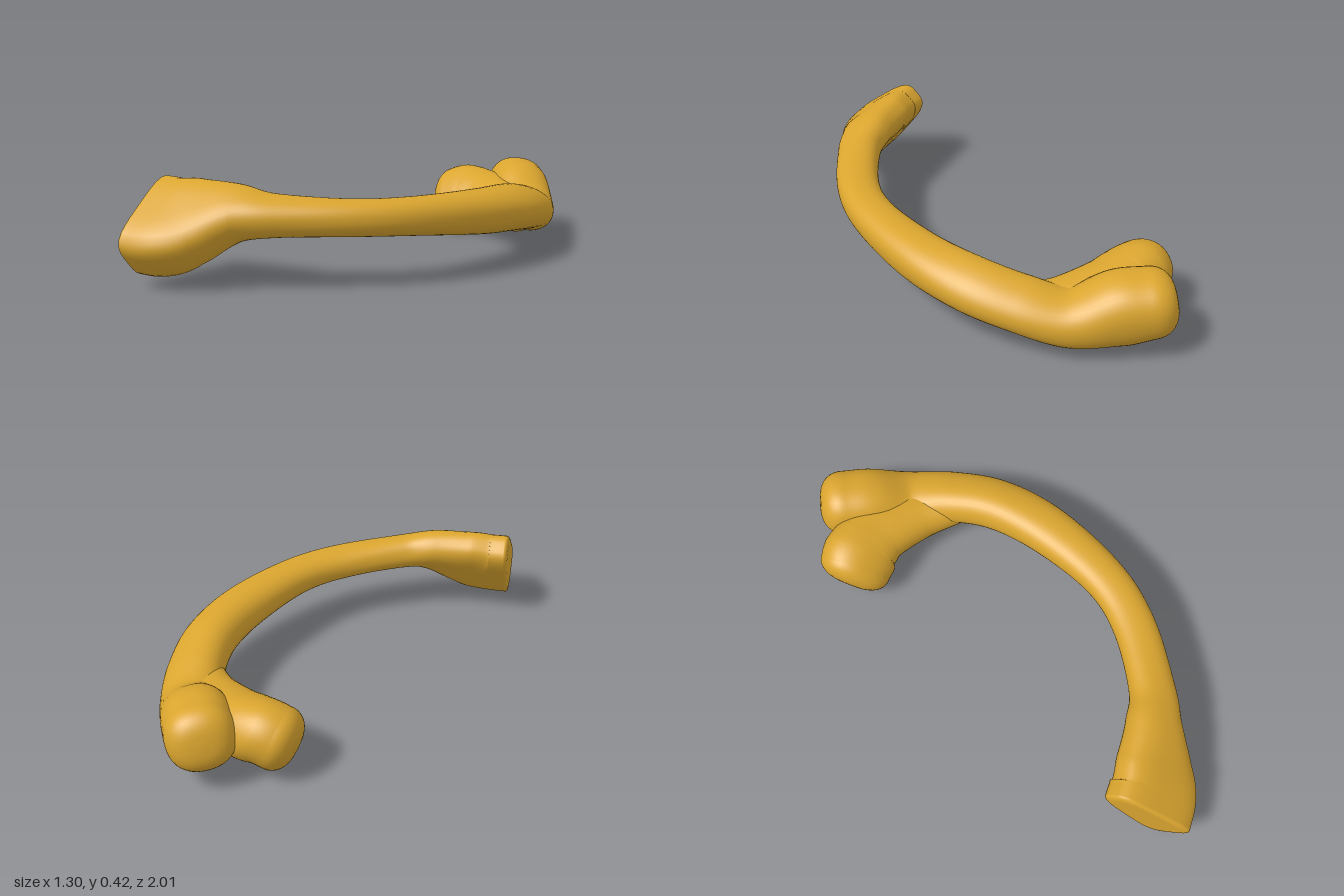
import * as THREE from 'three';

// Lofts rounded sections along a curve.
// Each section: [x, y, z, half width, half height, tilt, taper, squareness]
function loft(sections, startCap, endCap, rings = 90, sides = 40) {
  const col = (a, b, c) => new THREE.CatmullRomCurve3(
    sections.map((s) => new THREE.Vector3(s[a], s[b], s[c])), false, 'catmullrom', 0.5);
  const path = col(0, 1, 2), size = col(3, 4, 5), form = col(6, 7, 7);
  const up = new THREE.Vector3(0, 1, 0);
  const pos = [], index = [];

  // one ring of vertices; scale and push shape the closed ends
  const ring = (t, scale, push) => {
    const T = path.getTangent(t);
    const c = path.getPoint(t).addScaledVector(T, push);
    const N = new THREE.Vector3().crossVectors(T, up).normalize();
    const U = new THREE.Vector3().crossVectors(N, T);
    const s = size.getPoint(t), f = form.getPoint(t);
    const A = N.clone().multiplyScalar(Math.cos(s.z)).addScaledVector(U, Math.sin(s.z));
    const B = U.clone().multiplyScalar(Math.cos(s.z)).addScaledVector(N, -Math.sin(s.z));
    for (let j = 0; j < sides; j++) {
      const a = (j / sides) * Math.PI * 2;
      const ca = Math.cos(a), sa = Math.sin(a);
      const r = Math.pow(Math.abs(ca) ** f.y + Math.abs(sa) ** f.y, -1 / f.y);
      const p = c.clone().addScaledVector(A, s.x * r * ca * scale)
        .addScaledVector(B, s.y * r * sa * scale * (1 + f.x * ca * r));
      pos.push(p.x, p.y, p.z);
    }
  };

  // cap: [length, power]; a low power gives a flat end, 1 a dome
  const steps = 10;
  const cap = ([len, power], t, dir, k) => {
    const a = (k / steps) * Math.PI / 2;
    ring(t, k === steps ? 0.001 : Math.cos(a) ** power, dir * len * Math.sin(a));
  };
  for (let k = steps; k > 0; k--) cap(startCap, 0, -1, k);
  for (let i = 0; i <= rings; i++) ring(i / rings, 1, 0);
  for (let k = 1; k <= steps; k++) cap(endCap, 1, 1, k);

  const count = pos.length / 3 / sides;
  for (let i = 0; i < count - 1; i++) {
    for (let j = 0; j < sides; j++) {
      const a = i * sides + j, b = i * sides + (j + 1) % sides;
      index.push(a, a + sides, b, b, a + sides, b + sides);
    }
  }
  const g = new THREE.BufferGeometry();
  g.setAttribute('position', new THREE.Float32BufferAttribute(pos, 3));
  g.setIndex(index);
  g.computeVertexNormals();
  return g;
}

export function createModel() {
  const group = new THREE.Group();
  group.name = 'rib';
  const bone = new THREE.MeshStandardMaterial({ color: 0xdaa52f });
  bone.name = 'ochre bone';
  const add = (name, geometry) => {
    const mesh = new THREE.Mesh(geometry, bone);
    mesh.name = name;
    group.add(mesh);
  };

  // curved shaft, from the broad flat front end to the rounded knob at the back
  add('shaft', loft([
    [-0.63, 0.252, 0.80, 0.205, 0.105, -0.76, 0.25, 4],
    [-0.53, 0.25, 0.80, 0.205, 0.105, -0.76, 0.22, 3.6],
    [-0.42, 0.274, 0.772, 0.183, 0.10, -0.76, 0.16, 3],
    [-0.28, 0.303, 0.735, 0.13, 0.092, -0.65, 0.08, 2.5],
    [-0.13, 0.298, 0.69, 0.10, 0.078, -0.3, 0, 2.3],
    [0.13, 0.285, 0.54, 0.093, 0.073, 0, 0, 2.3],
    [0.31, 0.275, 0.355, 0.095, 0.077, 0, 0, 2.3],
    [0.46, 0.255, 0.06, 0.11, 0.091, -0.1, 0, 2.3],
    [0.528, 0.235, -0.2, 0.12, 0.096, -0.25, -0.1, 2.2],
    [0.52, 0.20, -0.42, 0.123, 0.096, -0.25, -0.1, 2.2],
    [0.468, 0.163, -0.61, 0.128, 0.105, -0.15, 0, 2.2],
    [0.38, 0.20, -0.77, 0.142, 0.146, -0.15, 0, 2.3],
    [0.325, 0.225, -0.885, 0.138, 0.136, -0.15, 0, 2.3],
  ], [0.018, 0.15], [0.105, 0.7], 140));

  // short neck branching inward and swelling into the slanted head
  add('neckAndHead', loft([
    [0.49, 0.17, -0.40, 0.08, 0.08, 0, 0, 2.2],
    [0.40, 0.165, -0.55, 0.115, 0.10, 0, 0, 2.2],
    [0.27, 0.18, -0.68, 0.145, 0.115, 0.1, 0, 2.2],
    [0.18, 0.18, -0.722, 0.155, 0.13, 0.4, 0, 2.2],
    [0.12, 0.175, -0.733, 0.17, 0.132, 0.65, 0, 2.2],
    [0.065, 0.157, -0.738, 0.165, 0.132, 0.72, 0, 2.2],
  ], [0.03, 0.5], [0.085, 0.7], 60));

  return group;
}
